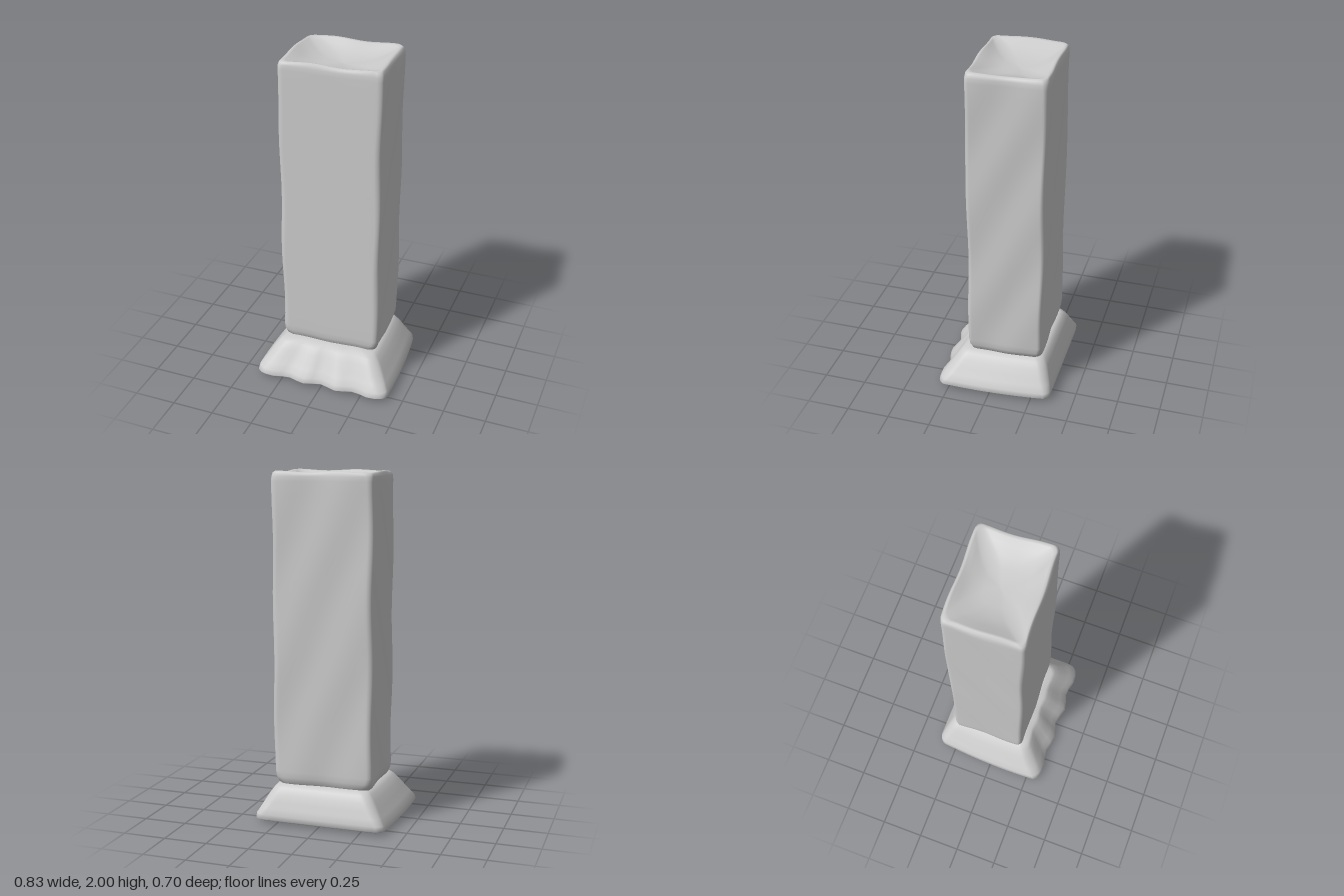
import * as THREE from 'three';

const N = 96;

// Unit rounded square: point at step j, corner radius r
function roundedSquare(j, r) {
  const q = (j % N) / N * 4, side = Math.floor(q), f = q - side;
  // each quarter is one side's second half, a corner arc, and the next side's first half
  const s = 1 - r;
  let x, z;
  if (f < 0.3) { x = 1; z = s * f / 0.3; }
  else if (f <= 0.7) {
    const a = (f - 0.3) / 0.4 * Math.PI / 2;
    x = s + r * Math.cos(a); z = s + r * Math.sin(a);
  } else { x = s * (1 - f) / 0.3; z = 1; }
  for (let k = 0; k < side; k++) [x, z] = [-z, x];
  return [x, z];
}

// Skin through rings [y, scale, cornerRadius] that follow a four-cornered plan
function loft(plan, rings, wobble) {
  const [bl, br, fr, fl] = plan, pos = [], idx = [];
  const cx = (bl[0] + br[0] + fr[0] + fl[0]) / 4;
  const cz = (bl[1] + br[1] + fr[1] + fl[1]) / 4;
  rings.forEach(([y, scale, r]) => {
    for (let j = 0; j <= N; j++) {
      const [u, v] = roundedSquare(j, r);
      const at = k => ((bl[k] * (1 - u) + br[k] * (1 + u)) * (1 - v)
        + (fl[k] * (1 - u) + fr[k] * (1 + u)) * (1 + v)) / 4;
      const [dx, dy, dz] = wobble(u, v, y, scale);
      pos.push(cx + (at(0) - cx) * scale + dx, y + dy, cz + (at(1) - cz) * scale + dz);
    }
  });
  for (let i = 0; i < rings.length - 1; i++) {
    for (let j = 0; j < N; j++) {
      const a = i * (N + 1) + j, b = a + 1, c = a + N + 1, d = c + 1;
      idx.push(a, c, b, b, c, d);
    }
  }
  const g = new THREE.BufferGeometry();
  g.setAttribute('position', new THREE.Float32BufferAttribute(pos, 3));
  g.setIndex(idx);
  g.computeVertexNormals();
  // blend the normals along the seam
  const n = g.attributes.normal;
  rings.forEach((_, i) => {
    const a = i * (N + 1), b = a + N;
    const s = new THREE.Vector3().fromBufferAttribute(n, a)
      .add(new THREE.Vector3().fromBufferAttribute(n, b)).normalize();
    n.setXYZ(a, s.x, s.y, s.z);
    n.setXYZ(b, s.x, s.y, s.z);
  });
  return g;
}

export function createModel() {
  const group = new THREE.Group();
  group.name = 'pillar';
  const stone = new THREE.MeshStandardMaterial({ color: 0xcccccc });
  const add = (name, geometry) => {
    const mesh = new THREE.Mesh(geometry, stone);
    mesh.name = name;
    group.add(mesh);
  };

  // Flared foot: slightly domed underside, thin lip, slope in to the neck
  const footPlan = [[-0.385, -0.355], [0.375, -0.355], [0.41, 0.32], [-0.41, 0.335]];
  const footRings = [
    [0, 0, 0.12], [0.002, 0.5, 0.12], [0.01, 0.85, 0.12], [0.016, 0.97, 0.12],
    [0.026, 1, 0.12], [0.055, 0.985, 0.13], [0.09, 0.93, 0.15], [0.13, 0.87, 0.17],
    [0.17, 0.81, 0.18], [0.205, 0.745, 0.18], [0.225, 0.68, 0.18], [0.232, 0.5, 0.18], [0.232, 0, 0.18],
  ];
  add('foot', loft(footPlan, footRings, (u, v, y, s) => {
    const k = Math.max(0, s - 0.6) / 0.4, lift = Math.min(1, y / 0.2);
    const bulge = 1 - v * v;
    return [
      k * 0.016 * u * bulge,
      0,
      k * (0.015 * Math.max(0, v) * -Math.cos(u * 12) * (1 - u * u * 0.6)) - 0.045 * lift * s,
    ];
  }));

  // Square shaft with softened edges and a shallow hollow in the top
  const shaftPlan = [[-0.3, -0.283], [0.284, -0.3], [0.302, 0.155], [-0.295, 0.174]];
  const shaftRings = [[0.215, 0, 0.2], [0.215, 0.88, 0.2], [0.235, 0.95, 0.18], [0.265, 0.985, 0.15]];
  for (let i = 0; i <= 24; i++) shaftRings.push([0.3 + i * 0.0685, 0.99, 0.12]);
  shaftRings.push(
    [1.97, 0.985, 0.13], [1.988, 0.965, 0.14], [1.996, 0.93, 0.16], [1.992, 0.88, 0.2],
    [1.975, 0.76, 0.3], [1.955, 0.58, 0.45], [1.94, 0.35, 0.6], [1.935, 0, 0.6],
  );
  add('shaft', loft(shaftPlan, shaftRings, (u, v, y, s) => {
    // gentle hand-worn unevenness
    const w = s * 0.004;
    const rim = y > 1.98 ? 0.004 * Math.sin(u * 5 + v * 3) : 0;
    return [
      w * Math.sin(y * 9 + v * 4),
      rim,
      w * Math.sin(y * 7 + u * 5) + (v < 0 ? 0.008 * s * (1 - y / 2) : 0),
    ];
  }));

  return group;
}
